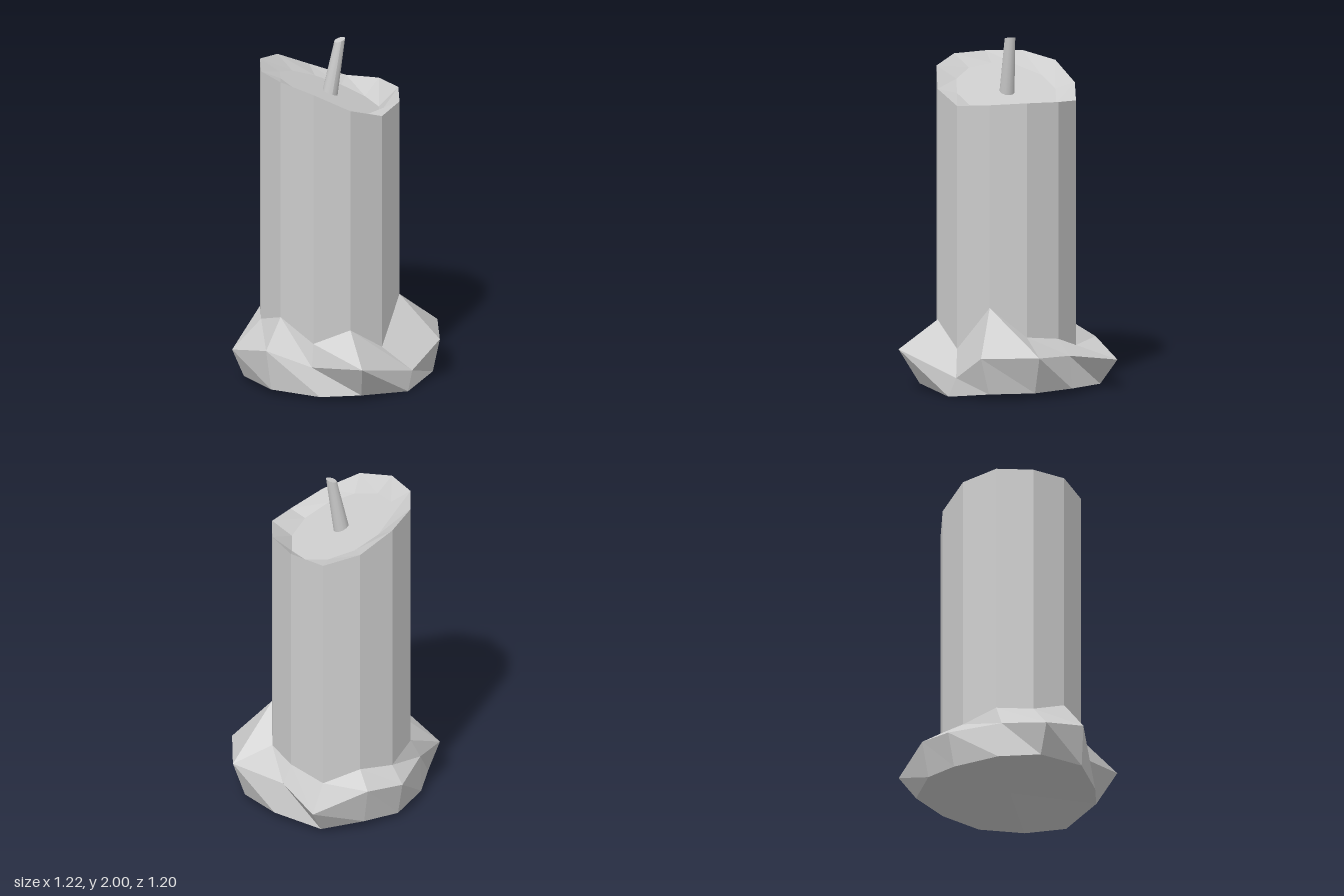
import * as THREE from 'three';

const SIDES = 12, CX = -0.03, CZ = -0.04;

// Ring of points around the candle axis; height depends on x or index
function ring(radius, height) {
  return Array.from({ length: SIDES }, (_, i) => {
    const a = (i / SIDES) * Math.PI * 2;
    const x = CX + radius * Math.cos(a);
    return [x, height(i, x), CZ + radius * Math.sin(a)];
  });
}

// Skin consecutive rings with faceted quads, optionally capping either end
function loft(rings, capStart, capEnd) {
  const pos = [];
  const tri = (...pts) => pts.forEach((p) => pos.push(...p));
  const centre = (r) => [0, 1, 2].map((k) => r.reduce((s, p) => s + p[k], 0) / r.length);
  for (let i = 0; i < SIDES; i++) {
    const j = (i + 1) % SIDES;
    for (let r = 0; r < rings.length - 1; r++) {
      const a = rings[r], b = rings[r + 1];
      tri(a[i], b[i], b[j]);
      tri(a[i], b[j], a[j]);
    }
    if (capStart) tri(centre(rings[0]), rings[0][i], rings[0][j]);
    if (capEnd) {
      const e = rings[rings.length - 1];
      tri(centre(e), e[j], e[i]);
    }
  }
  const g = new THREE.BufferGeometry();
  g.setAttribute('position', new THREE.Float32BufferAttribute(pos, 3));
  g.computeVertexNormals();
  return g;
}

export function createModel() {
  const group = new THREE.Group();
  const flat = new THREE.MeshStandardMaterial({ color: 0xcccccc, flatShading: true });
  const add = (name, geometry, material) => {
    const mesh = new THREE.Mesh(geometry, material);
    mesh.name = name;
    group.add(mesh);
    return mesh;
  };

  // Candle body: slanted wavy rim and a shallow sloping hollow
  const rimHalf = [1.67, 1.66, 1.64, 1.71, 1.81, 1.85, 1.85];
  add('candleBody', loft([
    ring(0.405, () => 0.1),
    ring(0.405, (i) => rimHalf[Math.min(i, SIDES - i)]),
    ring(0.29, (i, x) => 1.68 - 0.4 * (x - CX)),
  ], true, true), flat);

  // Melted wax pooled round the foot: underside, bulging edge, line where it meets the body
  const foot = [
    [0.535, 0.035, -0.04], [0.5, 0.035, 0.22], [0.3, 0, 0.4], [0, 0.035, 0.48],
    [-0.22, 0.02, 0.4], [-0.46, 0.035, 0.24], [-0.54, 0.03, -0.03], [-0.44, 0.03, -0.25],
    [-0.25, 0.02, -0.45], [-0.03, 0.04, -0.53], [0.22, 0.02, -0.52], [0.43, 0.035, -0.29],
  ];
  const edge = [
    [0.607, 0.245, -0.045], [0.525, 0.245, 0.275], [0.335, 0.11, 0.365], [-0.03, 0.23, 0.595],
    [-0.25, 0.18, 0.34], [-0.49, 0.27, 0.24], [-0.612, 0.2, -0.02], [-0.44, 0.24, -0.23],
    [-0.265, 0.22, -0.49], [-0.04, 0.25, -0.57], [0.29, 0.165, -0.6], [0.38, 0.215, -0.29],
  ];
  const meet = [0.33, 0.5, 0.25, 0.39, 0.31, 0.435, 0.36, 0.36, 0.3, 0.33, 0.24, 0.305];
  add('meltedWax', loft([foot, edge, ring(0.405, (i) => meet[i])], true, false), flat);

  // Leaning, tapered wick with a tilted tip
  const wickGeometry = new THREE.CylinderGeometry(0.031, 0.045, 0.36, 12);
  const p = wickGeometry.attributes.position;
  for (let i = 0; i < p.count; i++) {
    const t = p.getY(i) / 0.36 + 0.5, x = p.getX(i);
    p.setXYZ(i, x + 0.065 * t, p.getY(i) + x * (t > 0.5 ? 0.32 : -0.4), p.getZ(i));
  }
  wickGeometry.computeVertexNormals();
  const wick = add('wick', wickGeometry, new THREE.MeshStandardMaterial({ color: 0xcccccc }));
  wick.position.set(CX - 0.005, 1.81, CZ - 0.004);

  return group;
}
